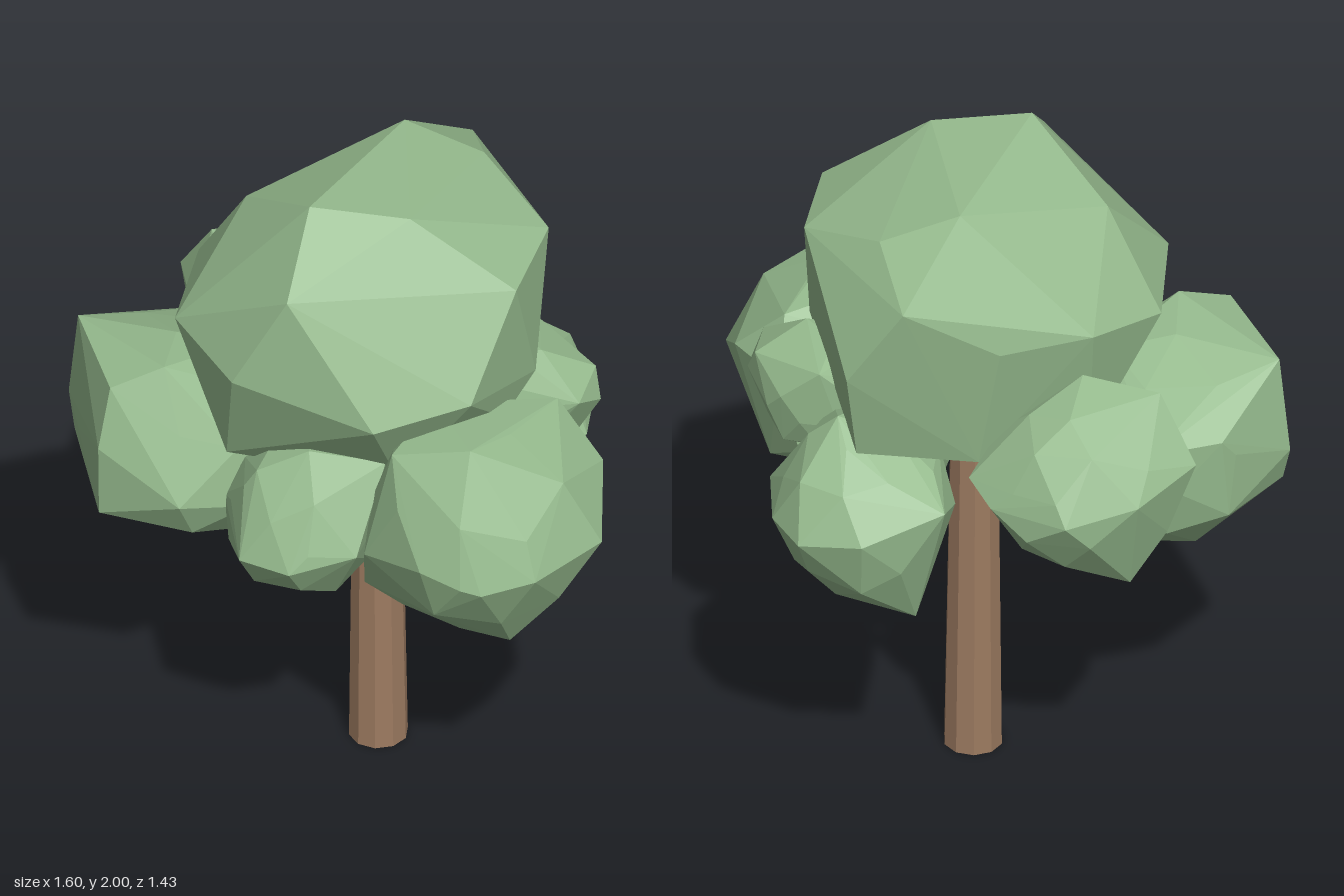
import * as THREE from 'three';
import { ConvexGeometry } from 'three/addons/geometries/ConvexGeometry.js';
import { mergeVertices } from 'three/addons/utils/BufferGeometryUtils.js';

const leaf = new THREE.MeshStandardMaterial({ color: 0x96bb8e, flatShading: true });
const bark = new THREE.MeshStandardMaterial({ color: 0x9c7a60, flatShading: true });

const toVectors = (points) => points.map((p) => new THREE.Vector3(...p));

// Faceted foliage: hull around a list of corners
function foliage(name, corners) {
  const mesh = new THREE.Mesh(new ConvexGeometry(corners), leaf);
  mesh.name = name;
  return mesh;
}

// Foliage ball: a lumpy ellipsoid core with a few corners standing out of it
function clump(name, center, radii, seed, corners) {
  const ico = new THREE.IcosahedronGeometry(1, 1);
  ico.deleteAttribute('normal');
  ico.deleteAttribute('uv');
  const pos = mergeVertices(ico).attributes.position;
  const spin = new THREE.Euler(seed, seed * 1.7, seed * 0.6);
  const core = [];
  for (let i = 0; i < pos.count; i++) {
    const lump = 0.93 + 0.06 * Math.sin(i * 12.9 + seed * 7.3);
    core.push(new THREE.Vector3().fromBufferAttribute(pos, i).applyEuler(spin)
      .multiplyScalar(lump).multiply(new THREE.Vector3(...radii)).add(new THREE.Vector3(...center)));
  }
  return foliage(name, [...core, ...toVectors(corners)]);
}

// Tapered round limb from point a up to point b
function limb(name, a, b, rBottom, rTop, sides) {
  const from = new THREE.Vector3(...a), to = new THREE.Vector3(...b);
  const dir = to.clone().sub(from);
  const mesh = new THREE.Mesh(new THREE.CylinderGeometry(rTop, rBottom, dir.length(), sides), bark);
  mesh.position.copy(from).add(to).multiplyScalar(0.5);
  mesh.quaternion.setFromUnitVectors(new THREE.Vector3(0, 1, 0), dir.normalize());
  mesh.name = name;
  return mesh;
}

export function createModel() {
  const tree = new THREE.Group();
  tree.name = 'tree';

  // Trunk and the two slanted branches
  tree.add(limb('trunk', [0.105, 0, -0.01], [0.1, 1.3, -0.01], 0.086, 0.068, 10));
  tree.add(limb('rightBranch', [-0.16, 0.63, 0], [0.06, 1.0, 0.02], 0.034, 0.02, 6));
  tree.add(limb('leftBranch', [0.24, 0.64, 0], [0.46, 1.0, 0.02], 0.034, 0.02, 6));

  // Big faceted crown, from the top corners down
  tree.add(foliage('crown', toVectors([
    [-0.07, 2.0, 0.2], [0.22, 1.98, 0.2], [0.15, 1.97, -0.29], [0.38, 1.88, -0.28],
    [-0.11, 1.82, 0.43], [-0.28, 1.84, -0.05], [0.53, 1.78, 0.24], [0.59, 1.79, -0.06], [0.32, 1.78, -0.52],
    [-0.46, 1.56, 0.18], [-0.27, 1.52, 0.42], [0.15, 1.45, 0.53], [0.42, 1.5, 0.43],
    [0.48, 1.54, -0.49], [0.04, 1.6, -0.46], [-0.23, 1.6, -0.37], [-0.43, 1.55, -0.17],
    [0.57, 1.4, 0.1], [0.49, 1.3, 0.2], [0.45, 1.25, -0.42], [0.1, 1.2, -0.4],
    [-0.31, 1.18, 0.1], [-0.3, 1.17, 0.28], [0.2, 1.15, 0.33], [0.3, 1.08, -0.1], [-0.22, 1.2, -0.28],
  ])));

  // Smaller foliage clumps around the crown
  tree.add(clump('rightClump', [-0.44, 1.05, -0.02], [0.35, 0.33, 0.36], 1, [
    [-0.8, 1.05, -0.13], [-0.77, 1.34, -0.1], [-0.6, 1.2, -0.32], [-0.4, 1.2, -0.38],
    [-0.67, 1.15, 0.28], [-0.43, 1.0, 0.34], [-0.64, 1.34, 0.24], [-0.49, 1.39, 0.19],
    [-0.67, 0.91, 0.26], [-0.58, 0.8, -0.05], [-0.33, 0.72, 0], [-0.78, 0.94, -0.1],
  ]));
  tree.add(clump('frontLeftClump', [0.45, 1.06, 0.38], [0.35, 0.36, 0.34], 2, [
    [0.78, 1.2, 0.24], [0.8, 1.07, 0.46], [0.63, 1.05, 0.65], [0.42, 1.05, 0.715], [0.27, 1.0, 0.62],
    [0.43, 1.42, 0.54], [0.3, 1.4, 0.29], [0.64, 1.35, 0.16], [0.2, 1.36, 0.5], [0.12, 1.0, 0.5],
    [0.54, 0.73, 0.5], [0.37, 0.7, 0.36], [0.2, 0.75, 0.17], [0.11, 0.83, 0.4],
    [0.68, 0.85, 0.2], [0.66, 1.2, 0.05], [0.6, 0.95, 0.05],
  ]));
  tree.add(clump('frontClump', [-0.07, 1.0, 0.29], [0.25, 0.27, 0.27], 3, [
    [-0.31, 1.0, 0.25], [-0.24, 0.95, 0.5], [-0.09, 0.95, 0.56], [0.1, 1.0, 0.52],
    [0.17, 1.25, 0.39], [-0.05, 1.28, 0.4], [-0.2, 1.2, 0.4], [-0.04, 0.73, 0.28], [-0.27, 0.84, 0.3],
    [0.1, 0.86, 0.3],
  ]));
  tree.add(clump('backClump', [-0.19, 1.17, -0.43], [0.31, 0.28, 0.28], 4, [
    [-0.52, 1.25, -0.51], [-0.35, 1.2, -0.66], [-0.14, 1.17, -0.72], [0.07, 1.15, -0.57],
    [0.13, 1.2, -0.48], [-0.42, 1.44, -0.42], [-0.2, 1.46, -0.35], [-0.33, 0.88, -0.55],
  ]));
  tree.add(clump('backLeftClump', [0.43, 0.99, -0.29], [0.28, 0.31, 0.29], 5, [
    [0.2, 1.1, -0.52], [0.44, 1.03, -0.585], [0.62, 1.0, -0.52], [0.69, 1.0, -0.37], [0.69, 1.0, -0.15],
    [0.5, 1.3, -0.3], [0.54, 0.67, -0.2], [0.28, 0.69, -0.42], [0.44, 0.84, -0.53],
    [0.58, 0.97, 0.01], [0.5, 0.8, -0.06], [0.5, 1.12, -0.06],
  ]));
  tree.add(clump('leftClump', [0.52, 1.22, -0.03], [0.21, 0.2, 0.18], 6, [
    [0.58, 1.42, 0.03], [0.73, 1.34, -0.02], [0.75, 1.26, 0.03], [0.55, 1.37, -0.19],
    [0.66, 1.27, -0.15], [0.7, 1.32, 0.14], [0.45, 1.02, 0.06],
  ]));
  return tree;
}
